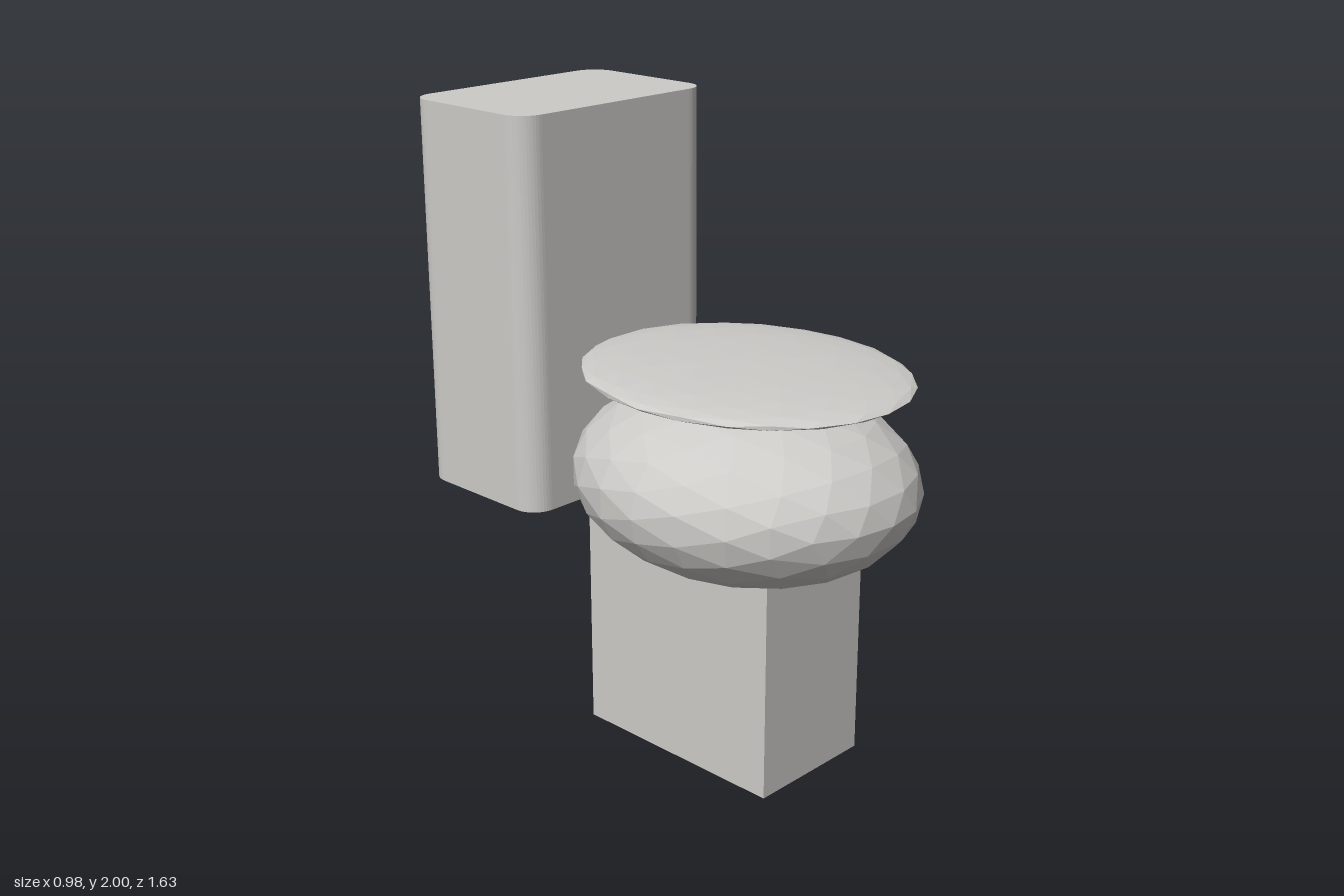
import * as THREE from 'three';

// Unit icosphere made by halving edges, with an edge midpoint on each axis
function icosphere(levels) {
  const base = new THREE.IcosahedronGeometry(1, 0).getAttribute('position');
  let points = [];
  for (let i = 0; i < base.count; i++) points.push(new THREE.Vector3().fromBufferAttribute(base, i));
  const middle = (a, b) => a.clone().add(b).normalize();
  for (let level = 0; level < levels; level++) {
    const next = [];
    for (let i = 0; i < points.length; i += 3) {
      const [a, b, c] = points.slice(i, i + 3);
      const ab = middle(a, b), bc = middle(b, c), ca = middle(c, a);
      next.push(a, ab, ca, ab, b, bc, ca, bc, c, ab, bc, ca);
    }
    points = next;
  }
  const geometry = new THREE.BufferGeometry().setFromPoints(points);
  geometry.rotateX(-Math.PI / 2);
  return geometry;
}

// Rounded rectangle outline centred on the origin
function roundedRect(w, d, r) {
  const x = w / 2 - r, y = d / 2 - r;
  const shape = new THREE.Shape();
  shape.absarc(x, y, r, 0, Math.PI / 2);
  shape.absarc(-x, y, r, Math.PI / 2, Math.PI);
  shape.absarc(-x, -y, r, Math.PI, Math.PI * 1.5);
  shape.absarc(x, -y, r, Math.PI * 1.5, Math.PI * 2);
  return shape;
}

export function createModel() {
  const model = new THREE.Group();
  const ceramic = new THREE.MeshStandardMaterial({ color: 0xcdcbc8 });
  ceramic.name = 'ceramic';
  ceramic.flatShading = true;

  function add(name, geometry, x, y, z) {
    const mesh = new THREE.Mesh(geometry, ceramic);
    mesh.name = name;
    mesh.position.set(x, y, z);
    model.add(mesh);
  }

  function ellipsoid(rx, ry, rz) {
    const geometry = icosphere(2).scale(rx, ry, rz);
    geometry.computeVertexNormals();
    return geometry;
  }

  // Pedestal, running up into the bowl
  add('pedestal', new THREE.BoxGeometry(0.44, 0.86, 0.755), 0, 0.43, 0.1525);

  // Faceted bowl and the thin lid resting on it
  add('bowl', ellipsoid(0.49, 0.295, 0.575), 0, 0.92, 0.24);
  add('lid', ellipsoid(0.46, 0.042, 0.54), 0, 1.252, 0.24);

  // Water tank with rounded upright edges
  const tank = new THREE.ExtrudeGeometry(roundedRect(0.788, 0.522, 0.08), {
    depth: 1.255, bevelEnabled: false, curveSegments: 6,
  });
  tank.rotateX(-Math.PI / 2);
  add('tank', tank, 0, 0.745, -0.556);

  return model;
}
